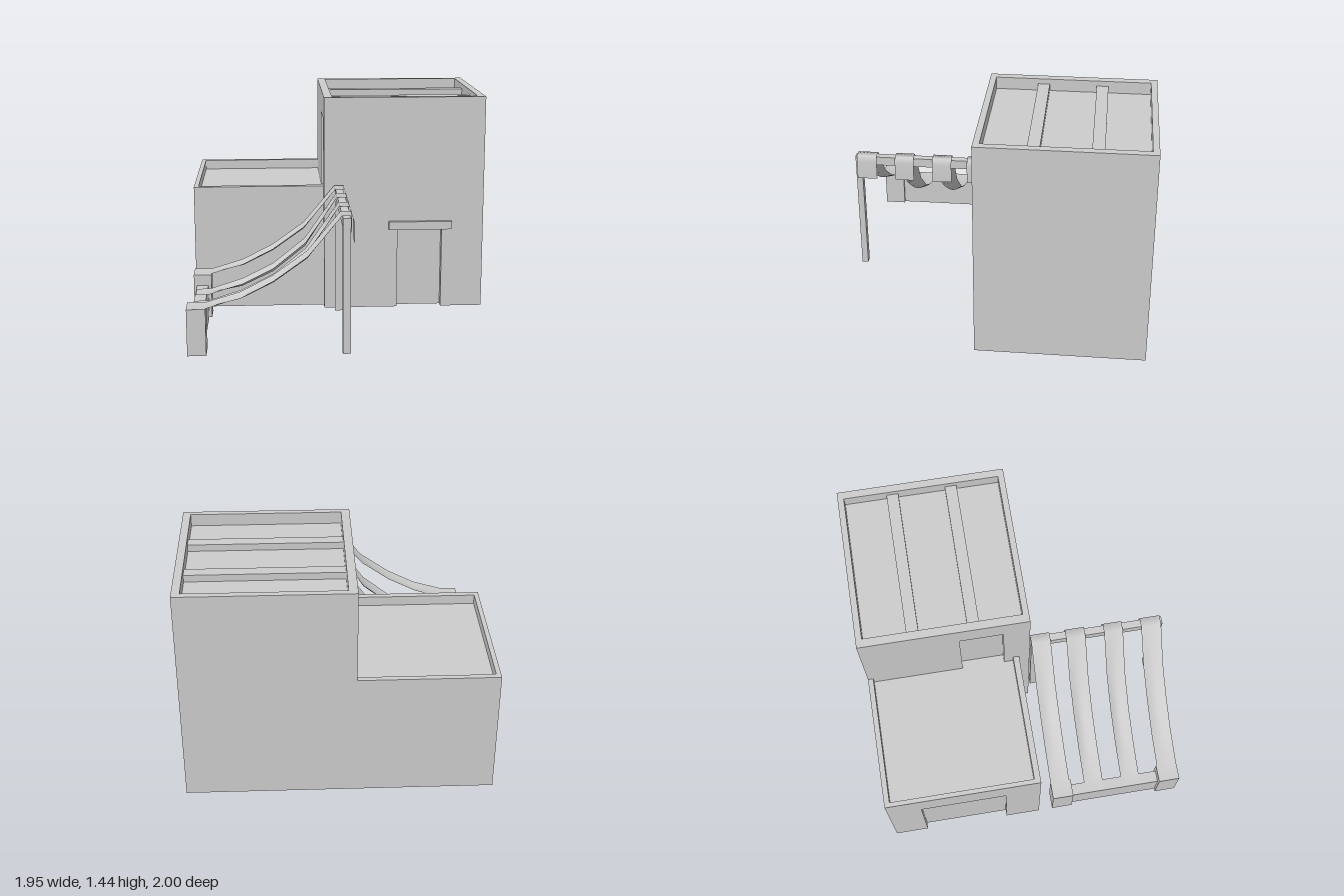
import * as THREE from 'three';

const material = new THREE.MeshStandardMaterial({ color: 0xcccccc, side: THREE.DoubleSide });

function add(parent, name, geometry, x = 0, y = 0, z = 0) {
  const mesh = new THREE.Mesh(geometry, material);
  mesh.name = name;
  mesh.position.set(x, y, z);
  parent.add(mesh);
  return mesh;
}

// Box given by its extents
function box(parent, name, x0, x1, y0, y1, z0, z1) {
  return add(parent, name, new THREE.BoxGeometry(x1 - x0, y1 - y0, z1 - z0),
    (x0 + x1) / 2, (y0 + y1) / 2, (z0 + z1) / 2);
}

// Flat four-cornered faces, corners counter-clockwise from outside
function quads(faces) {
  const points = [], index = [];
  faces.forEach((face, i) => {
    face.forEach((p) => points.push(...p));
    index.push(...[0, 1, 2, 0, 2, 3].map((k) => k + i * 4));
  });
  const g = new THREE.BufferGeometry();
  g.setAttribute('position', new THREE.Float32BufferAttribute(points, 3));
  g.setIndex(index);
  g.computeVertexNormals();
  return g;
}

const outline = (pts, Type = THREE.Shape) => new Type(pts.map((p) => new THREE.Vector2(...p)));
const rect = (a, b, c, d) => [[a, c], [b, c], [b, d], [a, d]];

// Thin wall facing local +z, optionally with a recessed doorway
function wall(name, a, b, h, door) {
  const g = new THREE.Group();
  g.name = name;
  if (!door) {
    add(g, name + 'Face', new THREE.ShapeGeometry(outline(rect(a, b, 0, h))));
    return g;
  }
  const { l, r, y0, y1, depth: d } = door;
  let shape;
  if (y0 === 0) {
    shape = outline([[a, 0], [l, 0], [l, y1], [r, y1], [r, 0], [b, 0], [b, h], [a, h]]);
  } else {
    shape = outline(rect(a, b, 0, h));
    shape.holes.push(outline(rect(l, r, y0, y1), THREE.Path));
  }
  add(g, name + 'Face', new THREE.ShapeGeometry(shape));
  const faces = [
    [[l, y0, -d], [r, y0, -d], [r, y1, -d], [l, y1, -d]],
    [[l, y0, 0], [l, y0, -d], [l, y1, -d], [l, y1, 0]],
    [[r, y0, -d], [r, y0, 0], [r, y1, 0], [r, y1, -d]],
    [[l, y1, -d], [r, y1, -d], [r, y1, 0], [l, y1, 0]],
  ];
  if (y0 > 0) faces.push([[l, y0, 0], [r, y0, 0], [r, y0, -d], [l, y0, -d]]);
  add(g, name + 'Doorway', quads(faces));
  return g;
}

// Open-bottomed block with a parapet around a sunken roof
function block(name, { x0, x1, z0, z1, h, inner, roofY, doors = {}, skip }) {
  const g = new THREE.Group();
  g.name = name;
  const sides = [
    ['frontWall', x0, x1, 0, [0, 0, z1]],
    ['leftWall', -z1, -z0, Math.PI / 2, [x1, 0, 0]],
    ['backWall', -x1, -x0, Math.PI, [0, 0, z0]],
    ['rightWall', z0, z1, -Math.PI / 2, [x0, 0, 0]],
  ];
  for (const [side, a, b, turn, pos] of sides) {
    if (side === skip) continue;
    const w = wall(side, a, b, h, doors[side]);
    w.rotation.y = turn;
    w.position.set(...pos);
    g.add(w);
  }
  const [a, b, c, d] = inner;
  const rim = (y) => [[a, y, d], [b, y, d], [b, y, c], [a, y, c]];
  const outer = [[x0, h, z1], [x1, h, z1], [x1, h, z0], [x0, h, z0]];
  const top = rim(h), low = rim(roofY), faces = [];
  for (let i = 0; i < 4; i++) {
    const j = (i + 1) % 4;
    if (skip === 'leftWall' && i === 1) continue;
    faces.push([outer[i], outer[j], top[j], top[i]]);
    faces.push([top[i], top[j], low[j], low[i]]);
  }
  add(g, 'parapet', quads(faces));
  add(g, 'roof', quads([low]));
  return g;
}

// Cloth strip: a smooth sheet along a path, sagging slightly across its width
function strip(parent, path, z0, z1) {
  const across = 6, points = [], index = [];
  path.forEach(([x, y, sag = 0], i) => {
    for (let j = 0; j <= across; j++) {
      const t = j / across;
      points.push(x, y - sag * Math.sin(Math.PI * t), z0 + (z1 - z0) * t);
      if (i && j) {
        const p = i * (across + 1) + j, q = p - across - 1;
        index.push(q - 1, q, p, q - 1, p, p - 1);
      }
    }
  });
  const g = new THREE.BufferGeometry();
  g.setAttribute('position', new THREE.Float32BufferAttribute(points, 3));
  g.setIndex(index);
  g.computeVertexNormals();
  add(parent, 'clothStrip', g);
}

export function createModel() {
  const model = new THREE.Group();
  model.name = 'house';

  // Tall block with front door and a door onto the low roof
  const tall = block('tallBlock', {
    x0: -0.105, x1: 0.97, z0: -1, z1: 0.08, h: 1.44,
    inner: [-0.05, 0.92, -0.96, 0.04], roofY: 1.36,
    doors: {
      frontWall: { l: 0.39, r: 0.69, y0: 0, y1: 0.55, depth: 0.05 },
      rightWall: { l: -0.37, r: -0.09, y0: 0.77, y1: 1.285, depth: 0.05 },
    },
  });
  box(tall, 'doorLintel', 0.33, 0.755, 0.545, 0.6, 0.08, 0.105);
  for (const z of [-0.65, -0.27]) box(tall, 'roofBeam', -0.05, 0.92, 1.36, 1.405, z - 0.038, z + 0.038);
  model.add(tall);

  // Low block against it
  model.add(block('lowBlock', {
    x0: -0.975, x1: -0.105, z0: -1, z1: 0.01, h: 0.835,
    inner: [-0.945, -0.105, -0.965, -0.03], roofY: 0.77,
    doors: { rightWall: { l: -0.78, r: -0.22, y0: 0, y1: 0.62, depth: 0.04 } },
    skip: 'leftWall',
  }));

  // Awning frame: low wall with piers, posts and a cross beam
  const awning = new THREE.Group();
  awning.name = 'awning';
  box(awning, 'lowWall', -0.955, -0.88, 0, 0.22, 0.24, 0.845);
  for (const z of [0.105, 0.845]) box(awning, 'pier', -0.975, -0.86, 0, 0.293, z, z + 0.14);
  for (const z of [0.105, 0.955]) box(awning, 'post', -0.035, 0.013, 0, 0.785, z, z + 0.042);
  box(awning, 'crossBeam', -0.035, 0.015, 0.785, 0.845, 0.105, 0.997);

  // Cloth strips hung from the beam; outer ones rest on the piers
  const end = [[-0.04, 0.855], [0.022, 0.855], [0.036, 0.815], [0.036, 0.69]];
  const high = [[-0.975, 0.297], [-0.86, 0.297], [-0.65, 0.36, 0.02], [-0.45, 0.463, 0.025], [-0.245, 0.61, 0.025], ...end];
  const low = [[-0.95, 0.226], [-0.86, 0.228], [-0.65, 0.295, 0.03], [-0.45, 0.395, 0.035], [-0.245, 0.56, 0.035], ...end];
  strip(awning, high, 0.105, 0.235);
  strip(awning, low, 0.34, 0.47);
  strip(awning, low, 0.598, 0.725);
  strip(awning, high, 0.85, 0.985);
  model.add(awning);

  return model;
}
